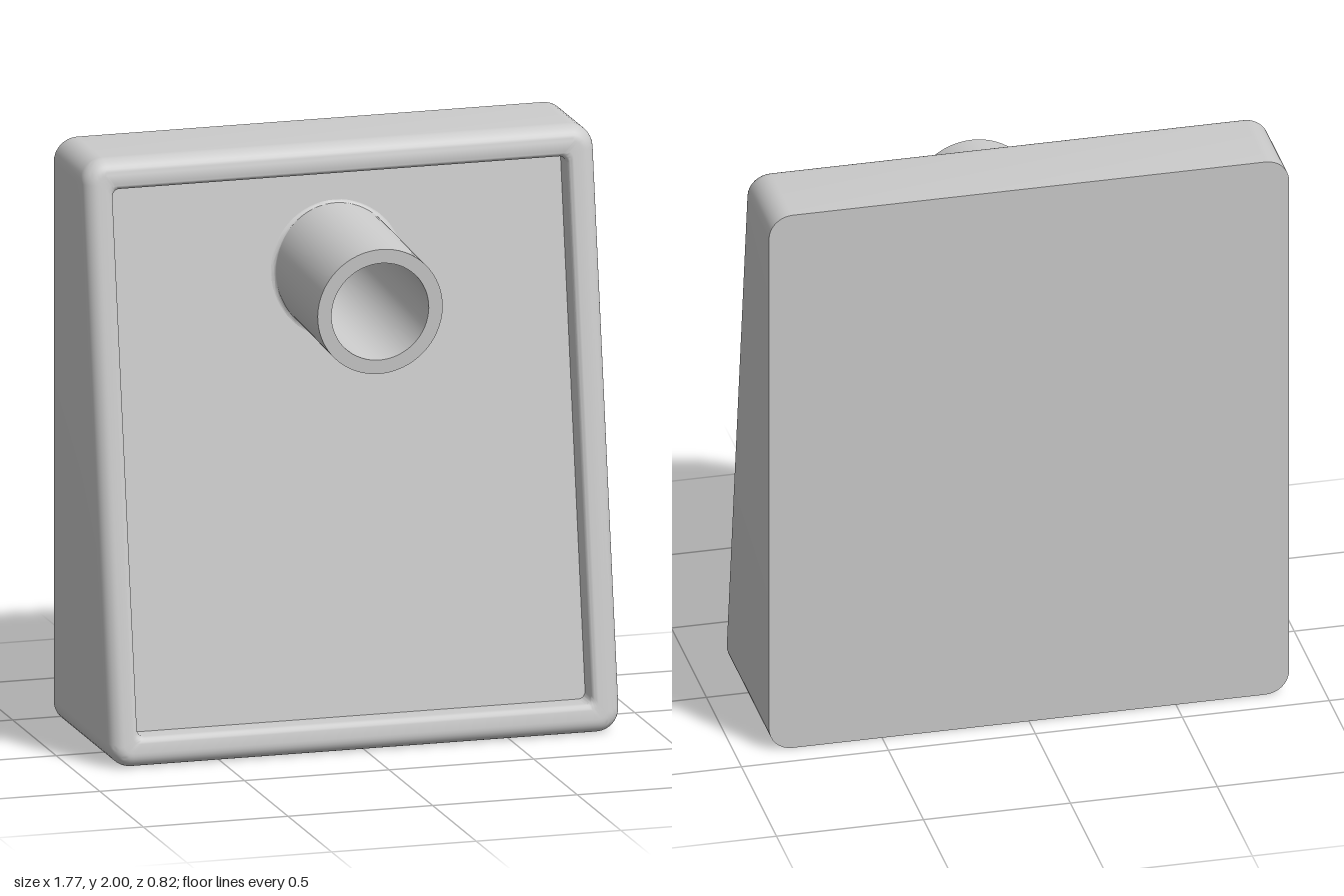
import * as THREE from 'three';
import { toCreasedNormals } from 'three/addons/utils/BufferGeometryUtils.js';

const HALF_W = 0.885, HEIGHT = 2, BACK = -0.41, CORNER = 0.08;
const RIM = 0.1, RECESS = 0.085, OUTER_R = 0.05, INNER_R = 0.02;
const SLOPE = 0.16, PIPE_TILT = 0.058;
const material = new THREE.MeshStandardMaterial({ color: 0xcccccc });

// z of the sloping front at a height
const frontZ = (y) => 0.248 - SLOPE * y;

// Rounded rectangle outline, counter-clockwise seen from the front
function outline(inset) {
  const r = Math.max(CORNER - inset, 0.025), points = [], steps = 8;
  const cx = HALF_W - inset - r, cy = HEIGHT / 2 - inset - r;
  [[1, 1], [-1, 1], [-1, -1], [1, -1]].forEach(([sx, sy], q) => {
    for (let i = 0; i <= steps; i++) {
      const a = (q + i / steps) * Math.PI / 2;
      points.push(new THREE.Vector2(sx * cx + r * Math.cos(a), HEIGHT / 2 + sy * cy + r * Math.sin(a)));
    }
  });
  return points;
}

function addMesh(group, name, geometry, crease = 0.6) {
  const mesh = new THREE.Mesh(toCreasedNormals(geometry, crease), material);
  mesh.name = name;
  group.add(mesh);
  return mesh;
}

// Skin between matching loops of points
function skin(loops) {
  const n = loops[0].length, index = [];
  for (let k = 0; k < loops.length - 1; k++) {
    for (let i = 0; i < n; i++) {
      const a = k * n + i, b = k * n + (i + 1) % n;
      index.push(a, b, b + n, a, b + n, a + n);
    }
  }
  const geometry = new THREE.BufferGeometry().setFromPoints(loops.flat());
  geometry.setIndex(index);
  return geometry;
}

export function createModel() {
  const group = new THREE.Group();

  // Housing walls, rounded rim and the step down to the panel
  const profile = [];
  for (let i = 0; i <= 8; i++) {
    const a = i / 8 * Math.PI / 2;
    profile.push([OUTER_R * (1 - Math.cos(a)), OUTER_R * (Math.sin(a) - 1)]);
  }
  for (let i = 0; i <= 5; i++) {
    const a = i / 5 * Math.PI / 2;
    profile.push([RIM - INNER_R * (1 - Math.sin(a)), INNER_R * (Math.cos(a) - 1)]);
  }
  profile.push([RIM, -RECESS]);
  const loops = [outline(0).map((p) => new THREE.Vector3(p.x, p.y, BACK))];
  for (const [inset, dz] of profile) {
    loops.push(outline(inset).map((p) => new THREE.Vector3(p.x, p.y, frontZ(p.y) + dz)));
  }
  addMesh(group, 'housing', skin(loops));

  // Flat back
  const back = new THREE.ShapeGeometry(new THREE.Shape(outline(0)));
  back.rotateY(Math.PI);
  back.translate(0, 0, BACK);
  addMesh(group, 'backPlate', back);

  // Sloping recessed panel with an opening for the pipe
  const pipeY = 1.54, pipeZ = 0.398, baseY = 1.568;
  const baseZ = frontZ(baseY) - RECESS;
  const shape = new THREE.Shape(outline(RIM));
  shape.holes.push(new THREE.Path().absarc(0, baseY, 0.195, 0, Math.PI * 2, true));
  const panel = new THREE.ShapeGeometry(shape, 32);
  const pos = panel.attributes.position;
  for (let i = 0; i < pos.count; i++) pos.setZ(i, frontZ(pos.getY(i)) - RECESS);
  addMesh(group, 'frontPanel', panel);

  // Hollow pipe with a deep blind bore, tipped slightly downward
  const pipeProfile = [[0.216, -0.56], [0.216, 0], [0.168, 0], [0.168, -0.76], [0, -0.76]];
  const pipe = addMesh(group, 'pipe',
    new THREE.LatheGeometry(pipeProfile.map(([x, y]) => new THREE.Vector2(x, y)), 64));
  pipe.position.set(0, pipeY, pipeZ);
  pipe.rotation.x = Math.PI / 2 + PIPE_TILT;

  // Small fillet where the pipe meets the panel
  const filletProfile = [];
  for (let i = 0; i <= 5; i++) {
    const a = i / 5 * Math.PI / 2;
    filletProfile.push(new THREE.Vector2(0.231 - 0.016 * Math.sin(a), 0.016 * (1 - Math.cos(a))));
  }
  const fillet = addMesh(group, 'pipeFillet', new THREE.LatheGeometry(filletProfile, 64));
  fillet.position.set(0, baseY, baseZ);
  fillet.rotation.x = Math.PI / 2 - Math.atan(SLOPE);

  return group;
}
